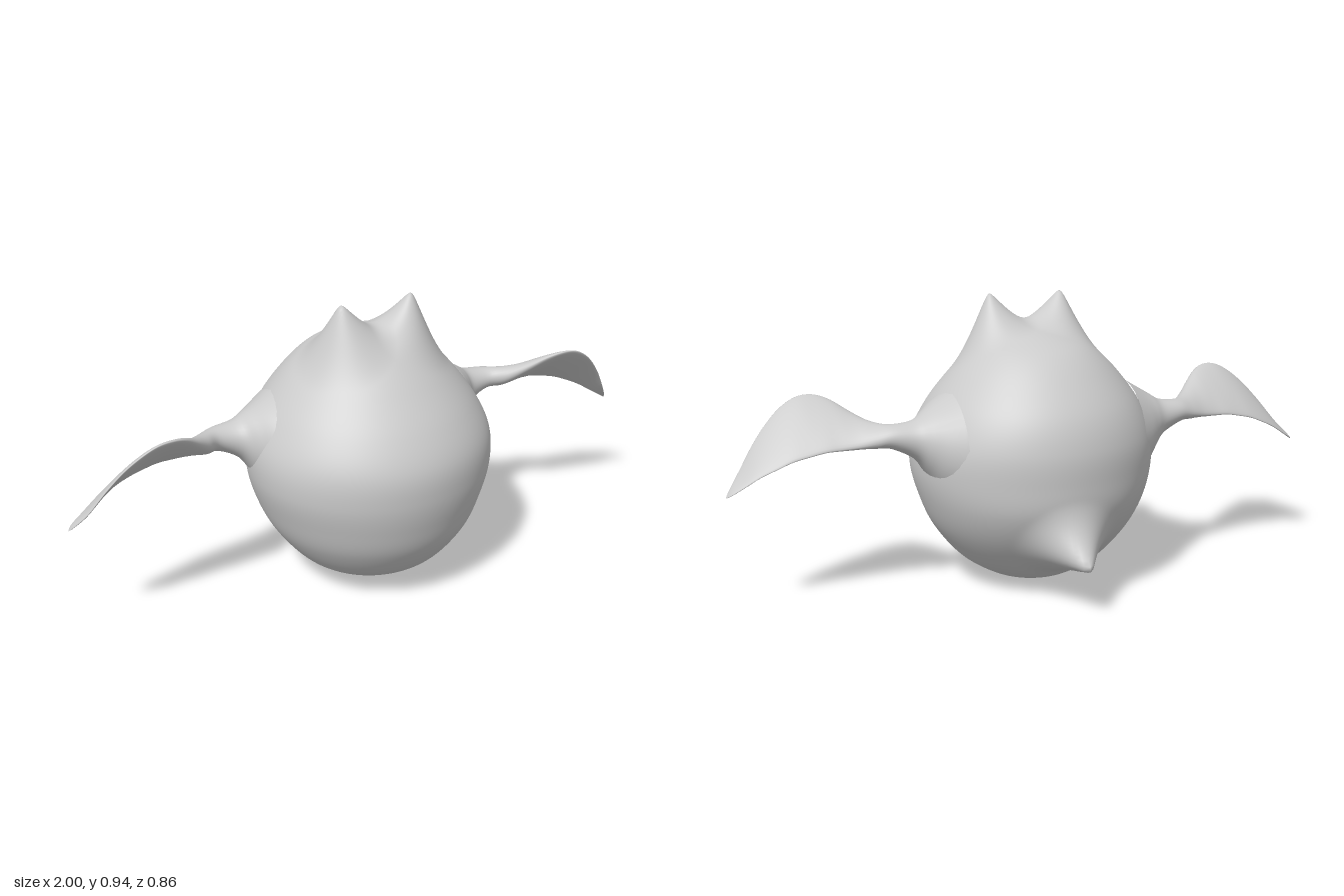
import * as THREE from 'three';

const material = new THREE.MeshStandardMaterial({ color: 0xcccccc });

// Smooth interpolation through rows of numbers
function spline(rows, steps) {
  const out = [];
  const last = rows.length - 1;
  for (let i = 0; i < last; i++) {
    const [a, b, c, d] = [rows[Math.max(i - 1, 0)], rows[i], rows[i + 1], rows[Math.min(i + 2, last)]];
    for (let s = 0; s < steps; s++) {
      const t = s / steps;
      out.push(b.map((_, k) => 0.5 * (2 * b[k] + (c[k] - a[k]) * t
        + (2 * a[k] - 5 * b[k] + 4 * c[k] - d[k]) * t * t
        + (3 * b[k] - a[k] - 3 * c[k] + d[k]) * t * t * t)));
    }
  }
  out.push(rows[last]);
  return out;
}

// Skin closed rings of points; flip turns the faces around
function loft(rows, sides, point, flip) {
  const pos = [], index = [];
  rows.forEach((row, i) => {
    for (let j = 0; j < sides; j++) {
      pos.push(...point(row, (j / sides) * Math.PI * 2));
      if (i === 0) continue;
      const k = (j + 1) % sides;
      const a = (i - 1) * sides + j, b = (i - 1) * sides + k, c = i * sides + k, d = i * sides + j;
      if (flip) index.push(a, b, c, a, c, d);
      else index.push(a, c, b, a, d, c);
    }
  });
  const geo = new THREE.BufferGeometry();
  geo.setAttribute('position', new THREE.Float32BufferAttribute(pos, 3));
  geo.setIndex(index);
  return geo;
}

// Draw the surface nearest to a base point out to a soft peak
function pullPeak(geo, base, tip, radius) {
  const p = geo.attributes.position, v = new THREE.Vector3(), root = new THREE.Vector3();
  let best = Infinity;
  for (let i = 0; i < p.count; i++) {
    const d = v.fromBufferAttribute(p, i).distanceTo(base);
    if (d < best) { best = d; root.copy(v); }
  }
  const pull = tip.clone().sub(root);
  for (let i = 0; i < p.count; i++) {
    const s = v.fromBufferAttribute(p, i).distanceTo(root) / radius;
    if (s >= 1) continue;
    const soft = Math.sqrt(s * s + 0.005) - 0.0707 * (1 - s);
    v.addScaledVector(pull, (1 - Math.min(soft, 1)) ** 2);
    p.setXYZ(i, v.x, v.y, v.z);
  }
}

// Body cross-sections: height, front z, back z, half width
const BODY = [
  [0.002, 0.05, 0.05, 0], [0.012, 0.13, -0.03, 0.08], [0.04, 0.21, -0.11, 0.16],
  [0.1, 0.305, -0.19, 0.25], [0.2, 0.38, -0.275, 0.33], [0.3, 0.415, -0.325, 0.375],
  [0.4, 0.432, -0.335, 0.4], [0.5, 0.425, -0.332, 0.395], [0.6, 0.375, -0.3, 0.35],
  [0.7, 0.295, -0.23, 0.275], [0.77, 0.228, -0.16, 0.205], [0.81, 0.18, -0.085, 0.15],
  [0.838, 0.13, 0, 0.09], [0.85, 0.065, 0.065, 0],
];

// Wing cross-sections: x, front edge z and y, back edge z and y, thickness
const WING = [
  [0.3, 0.19, 0.48, -0.2, 0.48, 0.36], [0.35, 0.14, 0.49, -0.16, 0.49, 0.28],
  [0.39, 0.075, 0.51, -0.125, 0.505, 0.195], [0.43, 0.025, 0.525, -0.098, 0.52, 0.12],
  [0.5, 0.012, 0.545, -0.08, 0.53, 0.075], [0.55, 0.05, 0.565, -0.065, 0.52, 0.065],
  [0.6, 0.09, 0.6, -0.05, 0.512, 0.05], [0.65, 0.125, 0.635, -0.04, 0.508, 0.04],
  [0.7, 0.147, 0.652, -0.035, 0.505, 0.032], [0.75, 0.15, 0.648, -0.03, 0.495, 0.028],
  [0.8, 0.143, 0.622, -0.025, 0.483, 0.025], [0.85, 0.125, 0.578, -0.02, 0.463, 0.02],
  [0.9, 0.103, 0.518, -0.01, 0.44, 0.018], [0.95, 0.075, 0.445, 0, 0.41, 0.015],
  [0.985, 0.045, 0.4, 0.01, 0.389, 0.01], [1, 0.026, 0.38, 0.024, 0.379, 0.001],
];

function makeBody() {
  const geo = loft(spline(BODY, 9), 128, ([y, zf, zb, w], a) =>
    [w * Math.sin(a), y, (zf + zb) / 2 + ((zf - zb) / 2) * Math.cos(a)], true);
  // Two pointed ears
  for (const s of [-1, 1]) {
    pullPeak(geo, new THREE.Vector3(s * 0.12, 0.81, 0.1), new THREE.Vector3(s * 0.125, 0.945, 0.098), 0.17);
  }
  // Stubby tail
  pullPeak(geo, new THREE.Vector3(0, 0.19, -0.275), new THREE.Vector3(0, 0.158, -0.43), 0.18);
  geo.computeVertexNormals();
  return new THREE.Mesh(geo, material);
}

function makeWing(side) {
  const geo = loft(spline(WING, 5), 32, ([x, zf, yf, zb, yb, t], a) => {
    const dz = zf - zb, dy = yf - yb, len = Math.hypot(dz, dy) || 1;
    const c = Math.cos(a) / 2, h = (Math.sin(a) * t) / 2;
    return [side * x, (yf + yb) / 2 + dy * c + (dz / len) * h, (zf + zb) / 2 + dz * c - (dy / len) * h];
  }, side < 0);
  geo.computeVertexNormals();
  return new THREE.Mesh(geo, material);
}

export function createModel() {
  const model = new THREE.Group();
  model.name = 'wingedCreature';
  const body = makeBody();
  body.name = 'bodyWithEarsAndTail';
  model.add(body);
  for (const side of [1, -1]) {
    const wing = makeWing(side);
    wing.name = side > 0 ? 'leftWing' : 'rightWing';
    model.add(wing);
  }
  return model;
}
